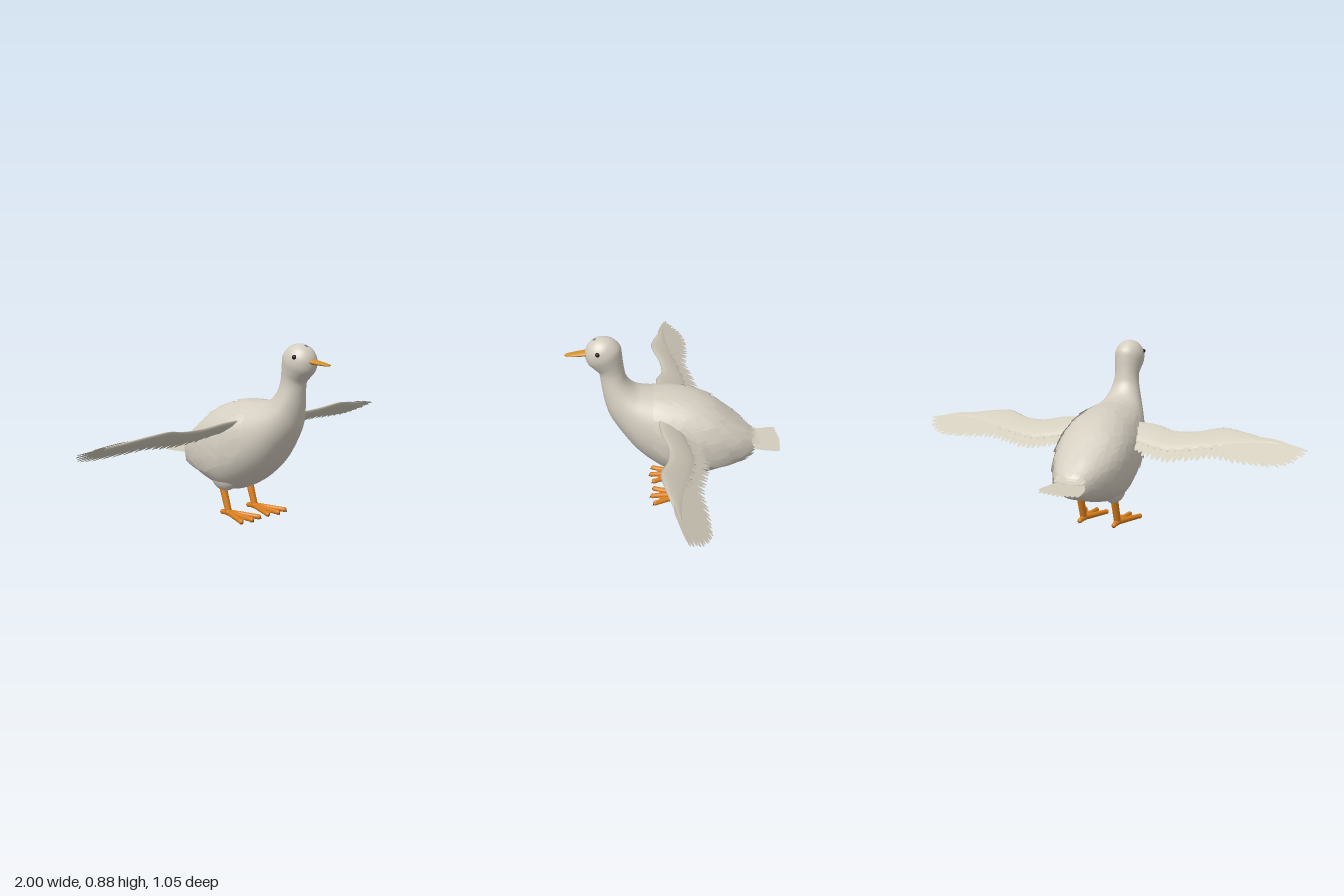
import * as THREE from 'three';
import { mergeGeometries, mergeVertices } from 'three/addons/utils/BufferGeometryUtils.js';

const V = (x, y, z) => new THREE.Vector3(x, y, z);
const curve = (pts) => new THREE.CatmullRomCurve3(pts);
const { lerp, clamp } = THREE.MathUtils;

let seed = 7;
const rand = () => (seed = (seed * 16807) % 2147483647) / 2147483647;

// Grid surface from a rule f(u, v) -> Vector3; it faces du x dv
function surface(nu, nv, f) {
  const pos = [], idx = [];
  for (let i = 0; i <= nu; i++)
    for (let j = 0; j <= nv; j++) pos.push(...f(i / nu, j / nv).toArray());
  for (let i = 0; i < nu; i++)
    for (let j = 0; j < nv; j++) {
      const a = i * (nv + 1) + j, b = a + nv + 1;
      idx.push(a, b, a + 1, b, b + 1, a + 1);
    }
  const g = new THREE.BufferGeometry();
  g.setAttribute('position', new THREE.Float32BufferAttribute(pos, 3));
  g.setIndex(idx);
  return g;
}

function smooth(g) {
  const m = mergeVertices(g, 1e-5);
  m.computeVertexNormals();
  return m;
}

// Flat rounded feather between two points
function feather(root, tip, width, up) {
  const dir = tip.clone().sub(root).normalize();
  const side = up.clone().cross(dir).normalize();
  return surface(6, 1, (u, v) => {
    const w = width * Math.pow(Math.sin(Math.PI * (0.15 + 0.82 * u)), 0.6);
    return root.clone().lerp(tip, u).addScaledVector(side, (v - 0.5) * w);
  });
}

// Tapered rod from a to b
function rod(a, b, ra, rb, sides = 10) {
  const d = b.clone().sub(a);
  const g = new THREE.CylinderGeometry(rb, ra, d.length(), sides);
  g.applyQuaternion(new THREE.Quaternion().setFromUnitVectors(V(0, 1, 0), d.normalize()));
  const c = a.clone().lerp(b, 0.5);
  return g.translate(c.x, c.y, c.z);
}

// Body sections from tail to crown: top z, y, bottom z, y, half width
const SECTIONS = [
  [-0.400, 0.275, -0.398, 0.262, 0.01], [-0.388, 0.31, -0.385, 0.225, 0.05],
  [-0.36, 0.345, -0.35, 0.205, 0.085], [-0.31, 0.395, -0.28, 0.182, 0.125],
  [-0.24, 0.455, -0.19, 0.152, 0.162], [-0.17, 0.51, -0.11, 0.133, 0.182],
  [-0.09, 0.55, -0.05, 0.124, 0.19], [0, 0.573, 0.02, 0.148, 0.187],
  [0.08, 0.586, 0.10, 0.195, 0.177], [0.14, 0.595, 0.19, 0.272, 0.155],
  [0.185, 0.607, 0.265, 0.37, 0.128], [0.215, 0.632, 0.325, 0.47, 0.1],
  [0.237, 0.668, 0.35, 0.57, 0.077], [0.245, 0.71, 0.36, 0.655, 0.063],
  [0.25, 0.75, 0.367, 0.695, 0.063], [0.253, 0.79, 0.391, 0.72, 0.069],
  [0.26, 0.83, 0.418, 0.75, 0.075], [0.289, 0.861, 0.427, 0.79, 0.068],
  [0.317, 0.874, 0.422, 0.821, 0.051], [0.344, 0.877, 0.408, 0.845, 0.032],
  [0.37, 0.872, 0.388, 0.863, 0.008],
];
const LAST = SECTIONS.length - 1;
const topLine = curve(SECTIONS.map((s) => V(s[4], s[1], s[0])));
const bottomLine = curve(SECTIONS.map((s) => V(0, s[3], s[2])));

// Point on the body; angle 0 is the back, pi the belly
function bodyPoint(t, angle) {
  const a = topLine.getPoint(clamp(t, 0, 1)), b = bottomLine.getPoint(clamp(t, 0, 1));
  const k = lerp(0.84, 1, clamp(t * 2 - 0.3, 0, 1));
  const pw = (n) => Math.sign(n) * Math.pow(Math.abs(n), k);
  const width = a.x;
  a.x = 0;
  const p = b.lerp(a, 0.5 + 0.5 * pw(Math.cos(angle)));
  p.x = width * pw(Math.sin(angle));
  return p;
}

function bodyNormal(t, angle) {
  const e = 0.01;
  const du = bodyPoint(t + e, angle).sub(bodyPoint(t - e, angle));
  const dv = bodyPoint(t, angle + e).sub(bodyPoint(t, angle - e));
  return du.cross(dv).normalize();
}

// Overlapping feathers that follow the back and flanks
function bodyFeathers() {
  const parts = [];
  for (let row = 0; row < 13; row++) {
    const t = (2.7 + row * 0.48) / LAST;
    for (let k = -10; k <= 10; k++) {
      const angle = (k + (row % 2) * 0.5) * 0.235 + (rand() - 0.5) * 0.07;
      const p = bodyPoint(t, angle);
      if (Math.abs(angle) > 2.3 || p.y < 0.22 + 0.4 * (p.z + 0.2) || p.z > 0.13) continue;
      const len = (1.15 + rand() * 0.4) / LAST, half = 0.15 + rand() * 0.04;
      const lift = 0.007 + rand() * 0.009;
      parts.push(surface(5, 2, (u, v) => {
        const w = half * [0.7, 0.95, 1, 0.9, 0.6, 0.12][Math.round(u * 5)];
        const ft = t - len * u, fa = angle + (0.5 - v) * 2 * w;
        return bodyPoint(ft, fa).addScaledVector(bodyNormal(ft, fa), 0.001 + lift * u);
      }));
    }
  }
  return smooth(mergeGeometries(parts));
}

const wingCurve = (pts) => curve(pts.map(([x, z]) => V(x, 0, z)));
const leading = wingCurve([[0.14, 0.09], [0.25, 0.085], [0.35, 0.055], [0.46, 0.062],
  [0.58, 0.1], [0.68, 0.085], [0.78, 0.058], [0.88, 0.03]]);
const panelEdge = wingCurve([[0.14, -0.02], [0.25, -0.055], [0.36, -0.075], [0.47, -0.055],
  [0.59, -0.03], [0.68, -0.01], [0.77, 0.01], [0.87, 0.022]]);
const quillRoots = wingCurve([[0.14, 0.03], [0.25, 0], [0.36, -0.02], [0.47, 0],
  [0.57, 0.03], [0.62, 0.035], [0.66, 0.04], [0.7, 0.045], [0.74, 0.045], [0.78, 0.045]]);
const quillTips = wingCurve([[0.16, -0.06], [0.25, -0.115], [0.36, -0.14], [0.47, -0.12],
  [0.58, -0.095], [0.7, -0.105], [0.82, -0.108], [0.91, -0.098], [0.965, -0.06], [1, 0]]);
// Tilt the flat wing plan so its leading edge is the higher one
const onWing = (p, s, h) => V(p.x * s, 0.45 + 0.58 * p.z + h, p.z);

function wing(s, name, mats) {
  const g = new THREE.Group();
  g.name = name;
  const up = V(0, 0.865, -0.5), quills = [];
  // Flight feathers, then shorter coverts above and below
  for (const [n, reach, width, h] of [[38, 1, 0.034, 0], [30, 0.68, 0.032, 0.008], [30, 0.6, 0.032, -0.008]])
    for (let i = 0; i < n; i++) {
      const u = i / (n - 1), root = quillRoots.getPoint(u);
      const tip = root.clone().lerp(quillTips.getPoint(u), reach * (0.96 + 0.04 * rand()));
      if (i === n - 1 && reach === 1) tip.copy(quillTips.getPoint(1));
      quills.push(feather(onWing(root, s, h), onWing(tip, s, h * 0.6 + (i % 2) * 0.003), width, up));
    }
  add(g, 'flightFeathers', smooth(mergeGeometries(quills)), mats.flight);
  // Flattened arm along the leading edge
  add(g, 'wingArm', smooth(surface(28, 12, (u, v) => {
    const a = -s * v * Math.PI * 2;
    const p = panelEdge.getPoint(u).lerp(leading.getPoint(u), 0.5 + 0.5 * Math.cos(a));
    return onWing(p, s, Math.sin(a) * lerp(0.017, 0.009, u));
  })), mats.flight);
  return g;
}

function leg(s, name, mats) {
  const g = new THREE.Group();
  g.name = name;
  const x = 0.092 * s, ankle = V(x, 0.022, -0.04);
  add(g, 'shank', rod(V(x, 0.16, -0.085), ankle, 0.019, 0.017, 12), mats.orange);
  add(g, 'ankle', new THREE.SphereGeometry(0.019, 12, 8).translate(x, 0.02, -0.04), mats.orange);
  // Three front toes and one hind toe, each with a claw
  for (const [dx, z] of [[-0.06, 0.11], [0, 0.122], [0.06, 0.11], [0, -0.083]]) {
    const tip = V(x + dx, 0.013, z), dir = tip.clone().sub(ankle).setY(0).normalize();
    add(g, 'toe', rod(V(x, 0.018, -0.04), tip, 0.015, 0.012), mats.orange);
    add(g, 'knuckle', new THREE.SphereGeometry(0.013, 10, 6).translate(tip.x, 0.013, z), mats.orange);
    const claw = tip.clone().addScaledVector(dir, 0.016).setY(0.003);
    add(g, 'claw', rod(tip.clone().setY(0.018), claw, 0.008, 0.001, 8), mats.dark);
  }
  // Scalloped webbing
  add(g, 'web', smooth(surface(6, 16, (u, v) => {
    const k = v * 2 - 1, r = u * (1 - 0.14 * Math.abs(Math.sin(k * Math.PI)));
    return V(x + 0.06 * k * r, 0.014, -0.04 + r * (0.157 - 0.012 * Math.abs(k)));
  })), mats.orange);
  return g;
}

function add(group, name, geometry, material) {
  const m = new THREE.Mesh(geometry, material);
  m.name = name;
  group.add(m);
  return m;
}

export function createModel() {
  const mat = (name, color) => Object.assign(
    new THREE.MeshStandardMaterial({ color, side: THREE.DoubleSide }), { name });
  const mats = {
    plumage: mat('plumage', 0xd3ccbf), flight: mat('flightPlumage', 0xd2ccbc),
    orange: mat('legOrange', 0xdb7f1c), beak: mat('beakOchre', 0xd0912f), dark: mat('darkHorn', 0x1c1a17),
  };
  const bird = new THREE.Group();
  bird.name = 'bird';
  add(bird, 'body', smooth(surface(80, 40, (u, v) => bodyPoint(u, (v * 2 - 1) * Math.PI))), mats.plumage);
  add(bird, 'bodyFeathers', bodyFeathers(), mats.plumage);

  // Tail fan with short coverts over it
  const tail = [];
  for (let layer = 0; layer < 3; layer++)
    for (let i = -4; i <= 4; i++) {
      const y = 0.268 + layer * 0.007 + Math.abs(i) * 0.001;
      tail.push(feather(V(i * 0.012, y, -0.35), V(i * 0.0235, y - 0.002, -0.525 + Math.abs(i) * 0.003), 0.036, V(0, 1, 0)));
      if (layer < 2) tail.push(feather(V(i * 0.013, 0.318 + layer * 0.012, -0.32),
        V(i * 0.017, 0.298 + layer * 0.012, -0.415 + layer * 0.02), 0.032, V(0, 1, 0)));
    }
  add(bird, 'tail', smooth(mergeGeometries(tail)), mats.flight);

  // Flat beak, thinner and narrower at the tip
  add(bird, 'beak', smooth(surface(12, 16, (u, v) => {
    const a = -v * Math.PI * 2, round = Math.sqrt(Math.max(0, 1 - Math.pow(u, 10)));
    return V(Math.cos(a) * lerp(0.028, 0.02, u) * round,
      lerp(0.8, 0.788, u) + Math.sin(a) * lerp(0.015, 0.004, u) * round, lerp(0.4, 0.525, u));
  })), mats.beak);

  for (const [s, side] of [[1, 'left'], [-1, 'right']]) {
    const eye = add(bird, side + 'Eye', new THREE.SphereGeometry(0.0105, 14, 10), mats.dark);
    eye.position.set(0.066 * s, 0.82, 0.366);
    const thigh = add(bird, side + 'Thigh', new THREE.SphereGeometry(1, 20, 14), mats.plumage);
    thigh.scale.set(0.052, 0.075, 0.085);
    thigh.position.set(0.088 * s, 0.2, -0.07);
    bird.add(wing(s, side + 'Wing', mats), leg(s, side + 'Leg', mats));
  }
  return bird;
}
